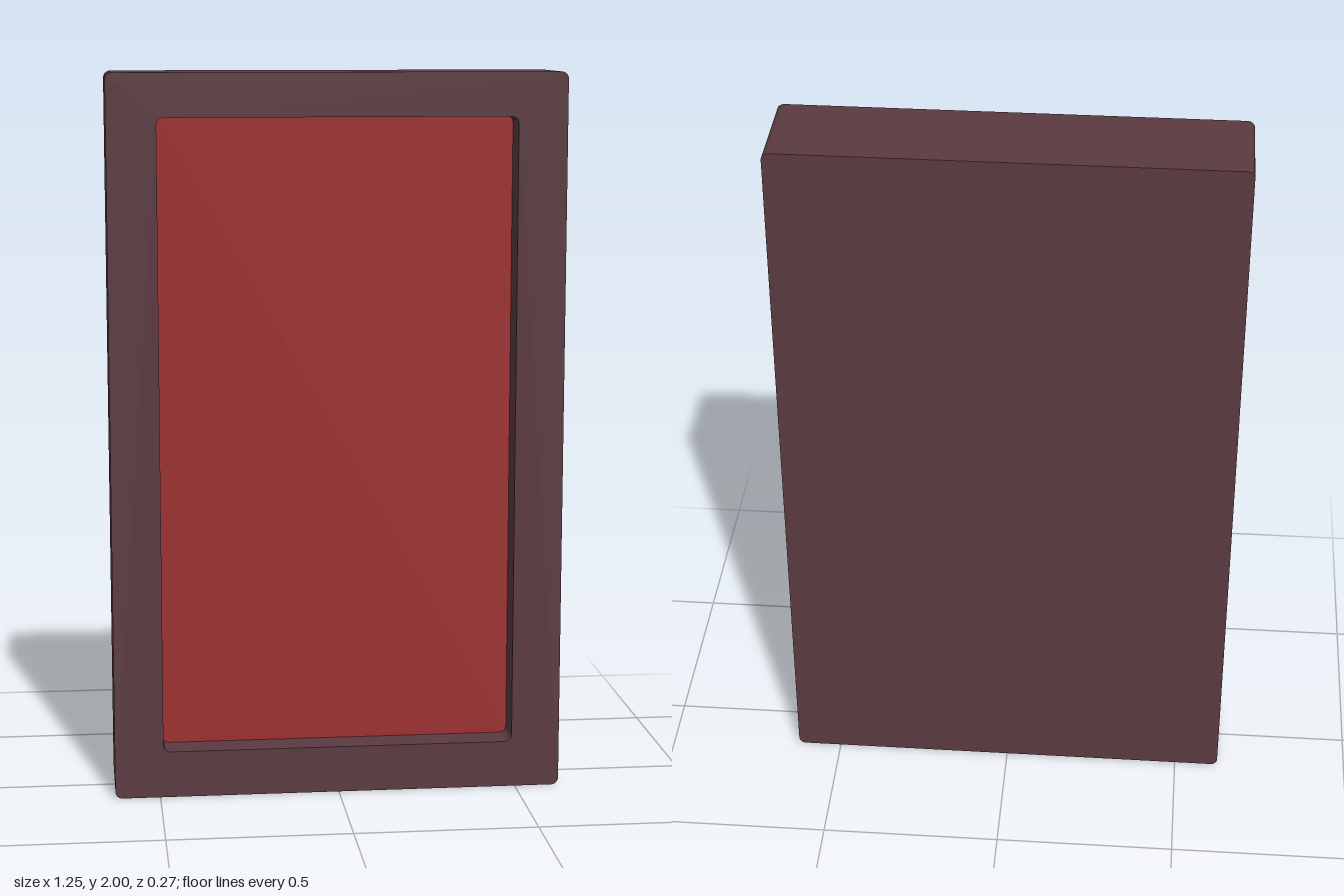
import * as THREE from 'three';

const WIDTH = 1.25, HEIGHT = 2, DEPTH = 0.27;
const OPEN_W = 0.98, OPEN_H = 1.75, OPEN_Y = 1.005;
const RECESS = 0.093, PANEL = 0.02;

// Traces a rounded rectangle centred on (0, cy)
function roundedRect(path, w, h, cy, r) {
  const x = w / 2, b = cy - h / 2, t = cy + h / 2;
  path.moveTo(-x + r, b);
  path.lineTo(x - r, b);
  path.absarc(x - r, b + r, r, -Math.PI / 2, 0);
  path.lineTo(x, t - r);
  path.absarc(x - r, t - r, r, 0, Math.PI / 2);
  path.lineTo(-x + r, t);
  path.absarc(-x + r, t - r, r, Math.PI / 2, Math.PI);
  path.lineTo(-x, b + r);
  path.absarc(-x + r, b + r, r, Math.PI, Math.PI * 1.5);
  return path;
}

function slab(name, shape, z0, z1, material) {
  const geometry = new THREE.ExtrudeGeometry(shape, { depth: z1 - z0, bevelEnabled: false, curveSegments: 4 });
  const mesh = new THREE.Mesh(geometry, material);
  mesh.name = name;
  mesh.position.z = z0;
  return mesh;
}

export function createModel() {
  const group = new THREE.Group();
  group.name = 'framedPanel';
  const frameMaterial = new THREE.MeshStandardMaterial({ color: 0x5a3a40 });
  const panelMaterial = new THREE.MeshStandardMaterial({ color: 0x9c2e30 });

  const front = DEPTH / 2;
  const panelFront = front - RECESS;
  const boardFront = panelFront - PANEL;
  const outer = () => roundedRect(new THREE.Shape(), WIDTH, HEIGHT, HEIGHT / 2, 0.02);

  // Solid back board
  group.add(slab('backBoard', outer(), -front, boardFront, frameMaterial));

  // Front border around the recess
  const border = outer();
  border.holes.push(roundedRect(new THREE.Path(), OPEN_W, OPEN_H, OPEN_Y, 0.02));
  group.add(slab('frameBorder', border, boardFront, front, frameMaterial));

  // Coloured panel at the bottom of the recess
  const inset = roundedRect(new THREE.Shape(), OPEN_W, OPEN_H, OPEN_Y, 0.02);
  group.add(slab('insetPanel', inset, boardFront, panelFront, panelMaterial));

  return group;
}
